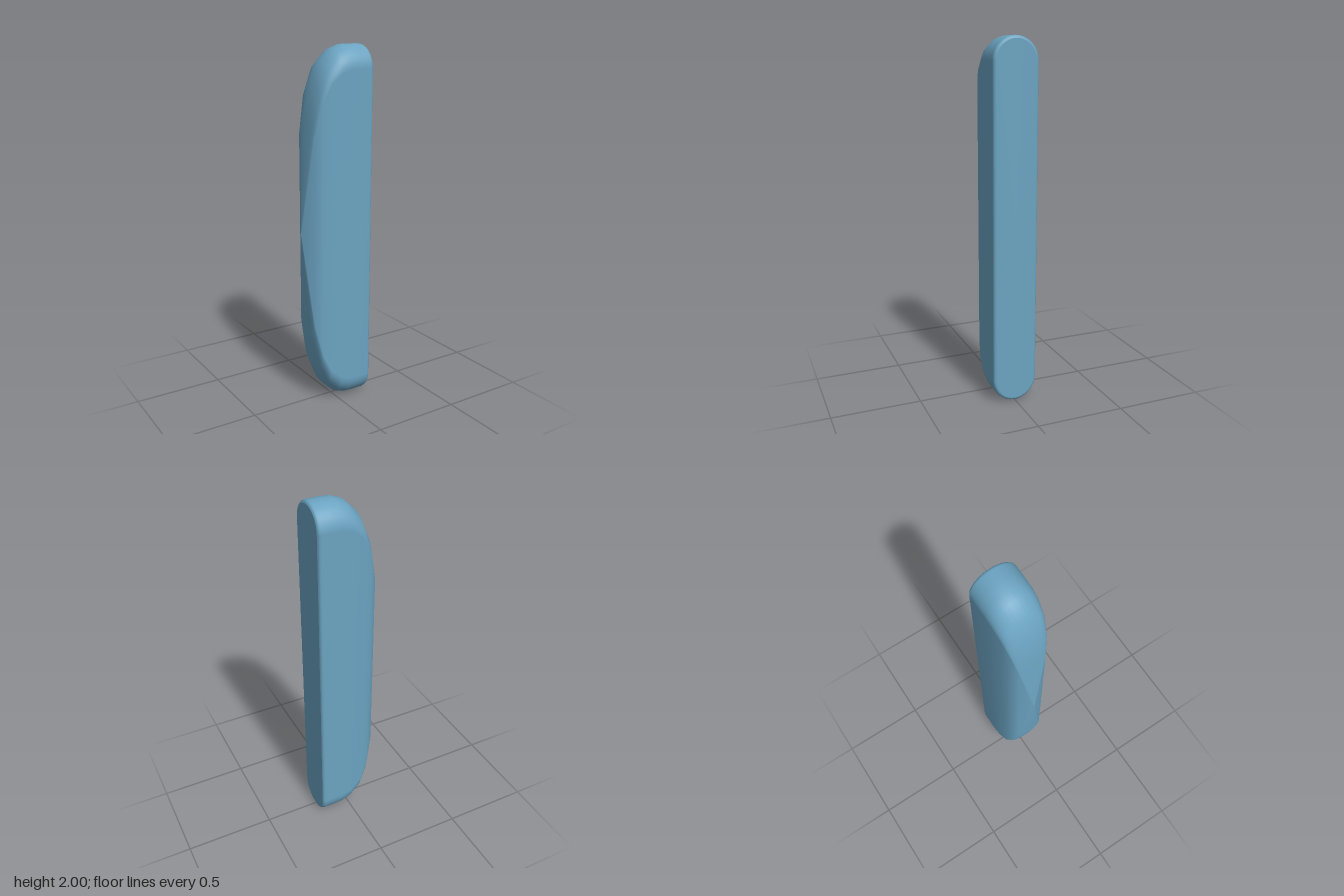
import * as THREE from 'three';

const HALF_HEIGHT = 1, RADIUS = 0.127, ARC_STEPS = 16;

// Stadium outline in the y/z plane: scaled about its centre, then inset evenly
function stadium(scale, inset) {
  const points = [];
  const r = RADIUS * scale - inset;
  const straight = (HALF_HEIGHT - RADIUS) * scale;
  for (const end of [1, -1]) {
    for (let k = 0; k <= ARC_STEPS; k++) {
      const a = -Math.PI / 2 + (Math.PI * k) / ARC_STEPS;
      points.push([end * (straight + r * Math.cos(a)), end * r * Math.sin(a)]);
    }
  }
  return points;
}

export function createModel() {
  // Cross-sections from the tip to the flat face: x, scale, inset
  const sections = [
    [-0.19, 0, 0], [-0.15, 0.6, 0], [-0.112, 0.8, 0], [-0.065, 0.915, 0],
    [0, 0.978, 0], [0.055, 0.998, 0], [0.11, 1, 0], [0.172, 1, 0],
    [0.181, 1, 0.002], [0.187, 1, 0.007], [0.19, 1, 0.015],
  ];
  const positions = [], indices = [];
  const n = 2 * (ARC_STEPS + 1);
  const addRing = ([x, scale, inset]) => {
    for (const [y, z] of stadium(scale, inset)) positions.push(x, y + HALF_HEIGHT, z);
  };
  sections.forEach(addRing);

  // Skin between neighbouring sections
  for (let i = 0; i < sections.length - 1; i++) {
    for (let j = 0; j < n; j++) {
      const a = i * n + j, b = i * n + ((j + 1) % n);
      if (i > 0) indices.push(a, b, a + n);
      indices.push(b, b + n, a + n);
    }
  }

  // Flat end face with its own vertices
  const start = positions.length / 3;
  const last = sections[sections.length - 1];
  addRing(last);
  positions.push(last[0], HALF_HEIGHT, 0);
  for (let j = 0; j < n; j++) indices.push(start + n, start + j, start + ((j + 1) % n));

  const geometry = new THREE.BufferGeometry();
  geometry.setAttribute('position', new THREE.Float32BufferAttribute(positions, 3));
  geometry.setIndex(indices);
  geometry.computeVertexNormals();

  const body = new THREE.Mesh(geometry, new THREE.MeshStandardMaterial({ color: 0x6ba3c1 }));
  body.name = 'taperedBody';
  const group = new THREE.Group();
  group.name = 'roundedPod';
  group.add(body);
  return group;
}
